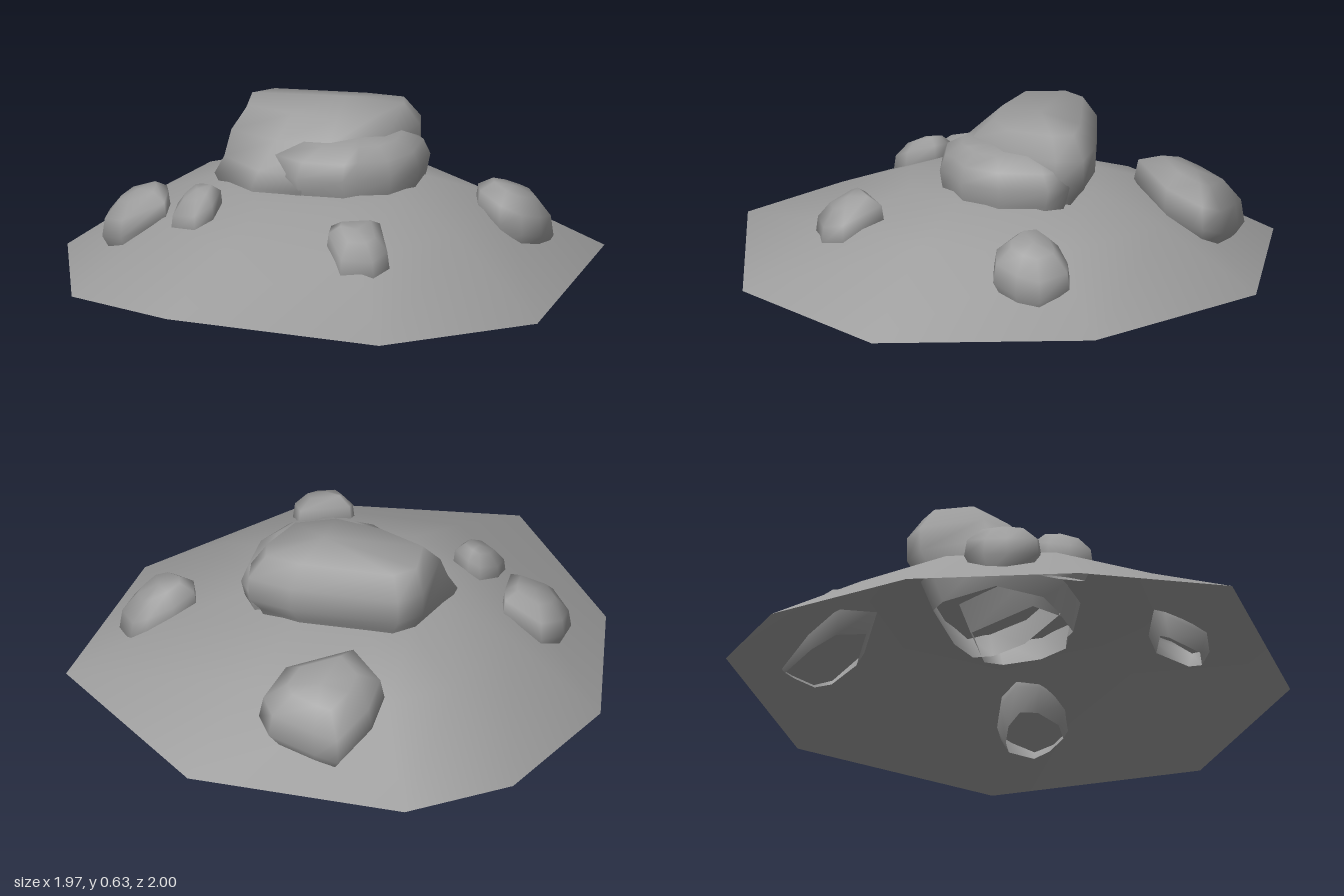
import * as THREE from 'three';

const stone = new THREE.MeshStandardMaterial({ color: 0x9c9c9c, side: THREE.DoubleSide });
stone.name = 'grey stone';

// Smooth skin over equal rings of [x, y, z], open below, closed by one top point
function loft(name, rings, apex) {
  const n = rings[0].length, index = [];
  const points = [...rings.flat(), apex];
  for (let i = 0; i < rings.length; i++) {
    for (let j = 0; j < n; j++) {
      const k = (j + 1) % n;
      const a = i * n + j, b = i * n + k;
      if (i === rings.length - 1) index.push(a, points.length - 1, b);
      else index.push(a, a + n, b, b, a + n, b + n);
    }
  }
  const geometry = new THREE.BufferGeometry();
  geometry.setAttribute('position', new THREE.Float32BufferAttribute(points.flat(), 3));
  geometry.setIndex(index);
  geometry.computeVertexNormals();
  const mesh = new THREE.Mesh(geometry, stone);
  mesh.name = name;
  return mesh;
}

// Rock from a plan outline; levels are [height, scale], leaning with the hillside
function rock(name, outline, baseY, levels, lean) {
  const n = outline.length;
  const cx = outline.reduce((s, p) => s + p[0], 0) / n;
  const cz = outline.reduce((s, p) => s + p[1], 0) / n;
  const r = Math.hypot(cx, cz);
  const rings = levels.map(([h, s]) => outline.map(([x, z]) => {
    const dx = (x - cx) * s, dz = (z - cz) * s;
    return [cx + dx, baseY + h - lean * (dx * cx + dz * cz) / r, cz + dz];
  }));
  const top = levels[levels.length - 1][0];
  return loft(name, rings, [cx, baseY + top + 0.01, cz]);
}

export function createModel() {
  const group = new THREE.Group();
  group.name = 'rockyMound';

  // Hollow mound with an uneven nine-sided rim
  const rim = [
    [-0.11, 0.05, -1], [0.67, 0.05, -0.8], [0.98, 0, -0.05], [0.79, 0.04, 0.61], [0.12, 0.1, 1],
    [-0.47, 0.02, 0.82], [-0.88, 0.02, 0.35], [-0.99, 0.04, -0.23], [-0.83, 0.05, -0.63],
  ];
  const ringAt = (s, y) => rim.map(([x, , z]) => [x * s, y, z * s]);
  group.add(loft('mound', [rim, ringAt(0.63, 0.26), ringAt(0.36, 0.355)], [0, 0.365, 0]));

  // Tall summit boulder with a sloping front
  const foot = [
    [-0.36, -0.06], [-0.33, -0.15], [-0.03, -0.33], [0.12, -0.37], [0.17, -0.3],
    [0.18, -0.12], [0.08, 0.2], [-0.09, 0.27], [-0.31, 0.21],
  ];
  const waist = [
    [-0.4, -0.07], [-0.37, -0.17], [-0.03, -0.37], [0.13, -0.42], [0.19, -0.34],
    [0.21, -0.13], [0.1, 0.07], [-0.08, 0.14], [-0.29, 0.14],
  ];
  const crown = [
    [-0.35, -0.05], [-0.32, -0.14], [-0.03, -0.31], [0.1, -0.36], [0.15, -0.3],
    [0.17, -0.13], [0.08, -0.01], [-0.08, 0.05], [-0.27, 0.07],
  ];
  const level = (plan, y, s = 1) => plan.map(([x, z]) => [x * s, y, z * s]);
  const belly = waist.map(([x, z], i) => [x, 0.43, i > 5 ? foot[i][1] - 0.03 : z]);
  group.add(loft('summitBoulder', [
    level(foot, 0.25, 0.85), level(foot, 0.37), belly, level(waist, 0.52), level(crown, 0.6),
  ], [0, 0.63, -0.16]));

  // Lower boulder leaning against it on the left
  group.add(rock('sideBoulder', [
    [-0.1, -0.2], [0.16, -0.38], [0.24, -0.34], [0.32, -0.18], [0.32, -0.02],
    [0.24, 0.07], [0.22, 0.13], [0.07, 0.21], [-0.1, 0.2],
  ], 0, [[0.25, 0.8], [0.36, 0.95], [0.42, 1], [0.48, 0.9], [0.525, 0.6]], 0));

  // Loose rocks: plan outline, hillside height, rise above it
  const loose = [
    ['backRightRock', 0.25, 0.12, [[-0.55, -0.5], [-0.55, -0.68], [-0.46, -0.71], [-0.28, -0.755],
      [-0.2, -0.72], [-0.18, -0.57], [-0.33, -0.35], [-0.5, -0.38]]],
    ['backLeftRock', 0.22, 0.1, [[0.4, -0.4], [0.42, -0.5], [0.48, -0.58], [0.53, -0.61],
      [0.64, -0.55], [0.66, -0.46], [0.65, -0.36], [0.58, -0.32], [0.46, -0.34]]],
    ['frontLeftRock', 0.26, 0.085, [[0.35, 0.36], [0.47, 0.21], [0.59, 0.31], [0.59, 0.4],
      [0.5, 0.48], [0.37, 0.4]]],
    ['frontRightRock', 0.235, 0.085, [[-0.6, 0.46], [-0.59, 0.35], [-0.44, 0.31], [-0.39, 0.36],
      [-0.32, 0.47], [-0.44, 0.58], [-0.56, 0.54]]],
    ['smallFrontRock', 0.305, 0.075, [[-0.28, 0.46], [-0.27, 0.37], [-0.22, 0.36], [-0.14, 0.37],
      [-0.1, 0.47], [-0.13, 0.54], [-0.24, 0.54]]],
  ];
  for (const [name, y, h, outline] of loose) {
    group.add(rock(name, outline, y, [[-0.09, 0.75], [-0.02, 1], [h * 0.5, 0.93], [h, 0.55]], 0.42));
  }
  return group;
}
